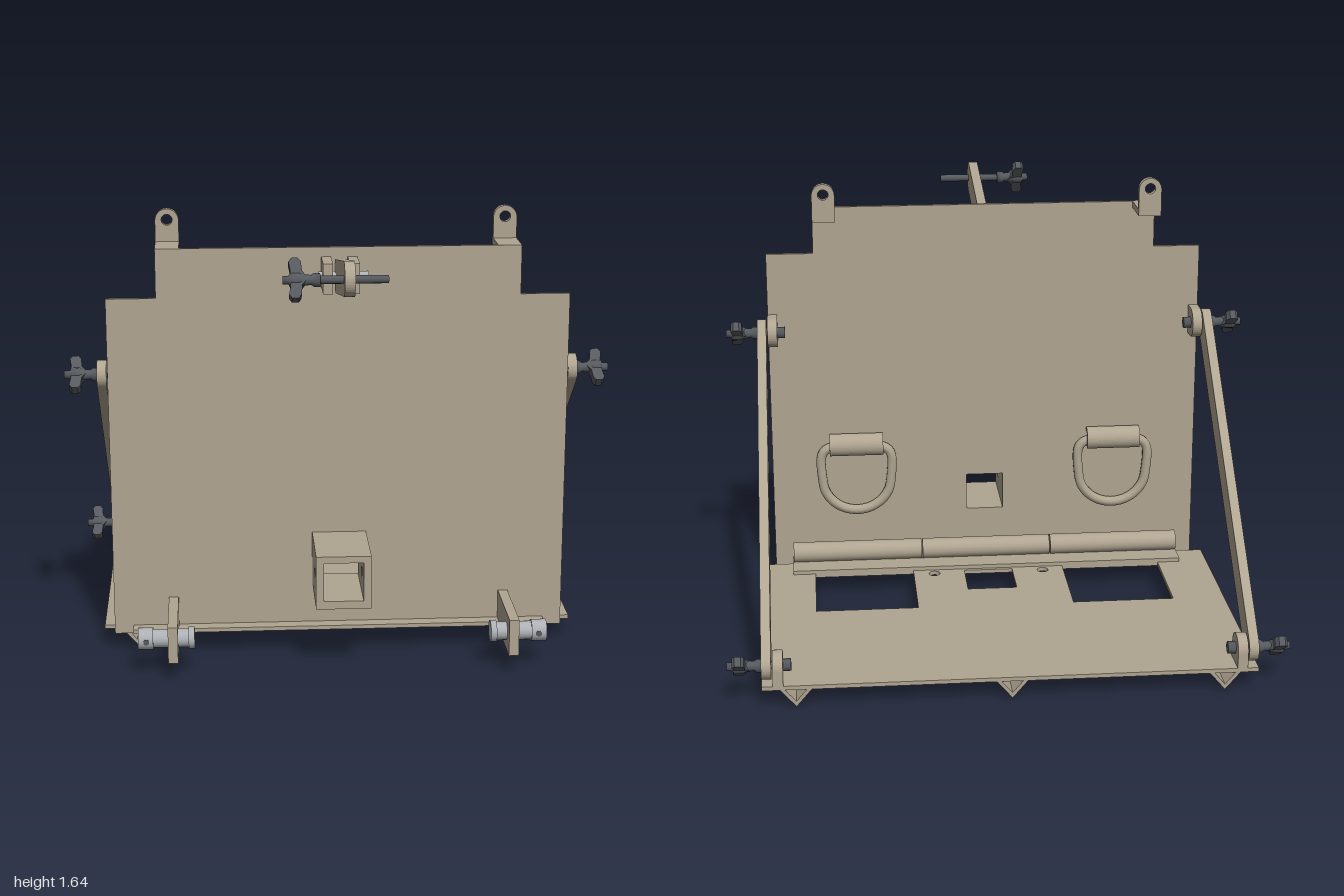
import * as THREE from 'three';

const mat = (color) => new THREE.MeshStandardMaterial({ color });

export function createModel() {
  const root = new THREE.Group();
  const tan = mat(0xb0a591), dark = mat(0x565a5f), steel = mat(0xadb1b5);
  const tanOpen = mat(0xb0a591);
  tanOpen.side = THREE.DoubleSide;

  const add = (name, geo, material = tan, parent = root) => {
    const m = new THREE.Mesh(geo, material);
    m.name = name;
    parent.add(m);
    return m;
  };
  // box given by its limits on each axis
  const box = (name, x0, x1, y0, y1, z0, z1, material) => add(name,
    new THREE.BoxGeometry(x1 - x0, y1 - y0, z1 - z0)
      .translate((x0 + x1) / 2, (y0 + y1) / 2, (z0 + z1) / 2), material);
  // cylinder lying along x
  const rodX = (name, x0, x1, y, z, r, material, parent, sides = 20) => add(name,
    new THREE.CylinderGeometry(r, r, Math.abs(x1 - x0), sides).rotateZ(Math.PI / 2)
      .translate((x0 + x1) / 2, y, z), material, parent);
  const extrude = (shape, depth) => new THREE.ExtrudeGeometry(shape,
    { depth, bevelEnabled: false, curveSegments: 10 });
  const poly = (pts) => new THREE.Shape(pts.map(([x, y]) => new THREE.Vector2(x, y)));
  const rect = (x0, x1, y0, y1) => poly([[x0, y0], [x1, y0], [x1, y1], [x0, y1]]);
  const circle = (x, y, r) => new THREE.Path().absarc(x, y, r, 0, Math.PI * 2, true);
  // (z, y) outline made into a plate of width w centred on x
  const sidePlate = (name, shape, x, w) => add(name,
    extrude(shape, w).rotateY(-Math.PI / 2).translate(x + w / 2, 0, 0));
  // bar outline with two round ends
  const stadium = (x1, y1, x2, y2, r) => {
    const a = Math.atan2(y2 - y1, x2 - x1), q = Math.PI / 2;
    const s = new THREE.Shape();
    s.absarc(x2, y2, r, a - q, a + q);
    s.absarc(x1, y1, r, a + q, a + 3 * q);
    return s;
  };
  // lug with one flat end: root at distance d from the centre, towards angle a
  const lug = (x, y, r, d, a) => {
    const s = new THREE.Shape(), q = Math.PI / 2;
    s.absarc(x, y, r, a + q, a + 3 * q);
    const c = Math.cos(a), n = Math.sin(a);
    s.lineTo(x + c * d + n * r, y + n * d - c * r);
    s.lineTo(x + c * d - n * r, y + n * d + c * r);
    return s;
  };

  // upright plate with stepped top corners and a square opening
  const upright = poly([[-0.84, 0.065], [0.84, 0.065], [0.84, 1.345], [0.66, 1.345],
    [0.66, 1.525], [-0.66, 1.525], [-0.66, 1.345], [-0.84, 1.345]]);
  upright.holes.push(rect(-0.072, 0.072, 0.28, 0.425));
  add('uprightPlate', extrude(upright, 0.015).translate(0, 0, 0.27));

  // base plate with cut-outs
  const base = rect(-0.88, 0.88, -0.87, 0.235);
  base.holes.push(rect(-0.095, 0.095, -0.08, 0.105));
  for (const s of [-1, 1]) {
    base.holes.push(rect(s * 0.49 - 0.193, s * 0.49 + 0.193, -0.24, 0.12));
    base.holes.push(circle(s * 0.215, 0.085, 0.022));
  }
  add('basePlate', extrude(base, 0.015).rotateX(Math.PI / 2).translate(0, 0.08, 0));

  // V-shaped runners under the base
  for (const [x, z1] of [[-0.76, 0.235], [0, -0.3], [0.76, 0.235]]) {
    const v = poly([[-0.055, 0.065], [0, 0], [0.055, 0.065], [0.038, 0.065], [0, 0.02], [-0.038, 0.065]]);
    add('runner', extrude(v, z1 + 0.87).translate(x, 0, -0.87));
  }

  // hinge strip and barrel
  box('hingeStrip', -0.77, 0.77, 0.082, 0.097, 0.115, 0.335);
  for (let i = 0; i < 3; i++) {
    const x = -0.77 + i * 1.54 / 3;
    rodX('hingeBarrel', x + 0.002, x + 1.54 / 3 - 0.002, 0.13, 0.23, 0.04);
  }

  // square socket tube with side holes
  const wall = rect(0.285, 0.565, 0.25, 0.45);
  wall.holes.push(circle(0.465, 0.355, 0.02));
  for (const s of [-1, 1]) sidePlate('socketSide', wall, s * 0.086, 0.028);
  box('socketFloor', -0.072, 0.072, 0.25, 0.28, 0.285, 0.565);
  box('socketRoof', -0.072, 0.072, 0.425, 0.45, 0.285, 0.565);

  // wing knob, axis along x, outer end at the origin
  const knob = (name, x, y, z, side, shaft, angle) => {
    const g = new THREE.Group();
    g.name = name;
    const hub = [[0, -0.125], [0.024, -0.125], [0.024, -0.105], [0.017, -0.095], [0.02, -0.07],
      [0.026, -0.055], [0.026, -0.025], [0.015, -0.02], [0.015, 0], [0, 0]];
    add('knobHub', new THREE.LatheGeometry(hub.map(([r, h]) => new THREE.Vector2(r, h)), 14)
      .rotateZ(-Math.PI / 2), dark, g);
    const wing = poly([[-0.085, 0], [-0.065, 0.025], [-0.062, 0.06], [-0.052, 0.074], [-0.03, 0.074],
      [-0.02, 0.06], [-0.026, 0.025], [-0.022, 0], [-0.026, -0.025], [-0.02, -0.06],
      [-0.03, -0.074], [-0.052, -0.074], [-0.062, -0.06], [-0.065, -0.025]].reverse());
    add('knobWing', extrude(wing, 0.036).translate(0, 0, -0.018), dark, g);
    rodX('knobShaft', -shaft, -0.12, 0, 0, 0.014, dark, g, 12);
    g.position.set(x, y, z);
    // half turn for the right side, then tilt of the wing about its axis
    g.rotation.set(angle, side < 0 ? Math.PI : 0, 0);
    root.add(g);
  };

  for (const s of [-1, 1]) {
    // diagonal brace with its lugs and knobs
    sidePlate('brace', stadium(0.215, 1.05, -0.815, 0.14, 0.052), s * 0.8625, 0.035);
    sidePlate('upperBraceLug', lug(0.215, 1.05, 0.056, 0.056, 0), s * 0.8225, 0.037);
    sidePlate('lowerBraceLug', lug(-0.815, 0.135, 0.055, 0.055, -Math.PI / 2), s * 0.8225, 0.037);
    for (const [y, z] of [[1.05, 0.215], [0.137, -0.815]]) {
      knob('braceKnob', s, y, z, s, 0.2, -0.92);
      rodX('braceNut', s * 0.775, s * 0.805, y, z, 0.022, dark, root, 6);
    }

    // top bracket with a pierced ear
    box('bracketArm', s * 0.617 - 0.043, s * 0.617 + 0.043, 1.5, 1.525, 0.12, 0.285);
    const ear = lug(s * 0.617, 1.602, 0.043, 0.09, -Math.PI / 2);
    ear.holes.push(circle(s * 0.617, 1.605, 0.02));
    add('bracketEar', extrude(ear, 0.025).translate(0, 0, 0.12));

    // lower hook plate and cross pin
    box('pinPlate', s * 0.618 - 0.018, s * 0.618 + 0.018, 0.068, 0.205, 0.285, 0.6);
    rodX('crossPin', s * 0.56, s * 0.725, 0.135, 0.52, 0.034, steel);
    rodX('pinCollar', s * 0.54, s * 0.562, 0.135, 0.52, 0.04, steel);
    rodX('pinCollar', s * 0.69, s * 0.745, 0.135, 0.52, 0.04, steel);
    add('pinCrossHole', new THREE.CylinderGeometry(0.011, 0.011, 0.082, 10)
      .rotateX(Math.PI / 2).translate(s * 0.715, 0.135, 0.52), dark);

    // D-ring hanging in a rolled clip
    const cx = s * 0.51, w = 0.135;
    const pts = [[-w + 0.03, 0.562], [w - 0.03, 0.562], [w, 0.535], [w, 0.43]];
    for (let i = 1; i < 8; i++) {
      const a = i * Math.PI / 8;
      pts.push([w * Math.cos(a), 0.43 - 0.13 * Math.sin(a)]);
    }
    pts.push([-w, 0.43], [-w, 0.535]);
    const path = new THREE.CatmullRomCurve3(
      pts.map(([x, y]) => new THREE.Vector3(cx + x, y, 0.246)), true, 'centripetal');
    add('dRing', new THREE.TubeGeometry(path, 72, 0.019, 10, true));
    const clip = new THREE.Shape();
    clip.moveTo(0.27, 0.618);
    clip.absarc(0.252, 0.572, 0.046, Math.PI / 2, Math.PI * 1.3, false);
    clip.absarc(0.252, 0.572, 0.03, Math.PI * 1.3, Math.PI / 2, true);
    clip.lineTo(0.27, 0.602);
    const clipMesh = sidePlate('ringClip', clip, cx, 0.21);
    clipMesh.material = tanOpen;

    // cheeks of the swing arm pivot
    box('pivotCheek', s * 0.0475 - 0.0175, s * 0.0475 + 0.0175, 1.38, 1.49, 0.285, 0.415);
  }

  // swing arm on top with its pivot pin and knob
  sidePlate('swingArm', stadium(0.365, 1.435, 0.815, 1.518, 0.06), 0, 0.036);
  rodX('pivotPin', -0.08, 0.1, 1.435, 0.365, 0.018, steel);
  knob('swingArmKnob', -0.222, 1.515, 0.81, -1, 0.355, -0.65);

  return root;
}
